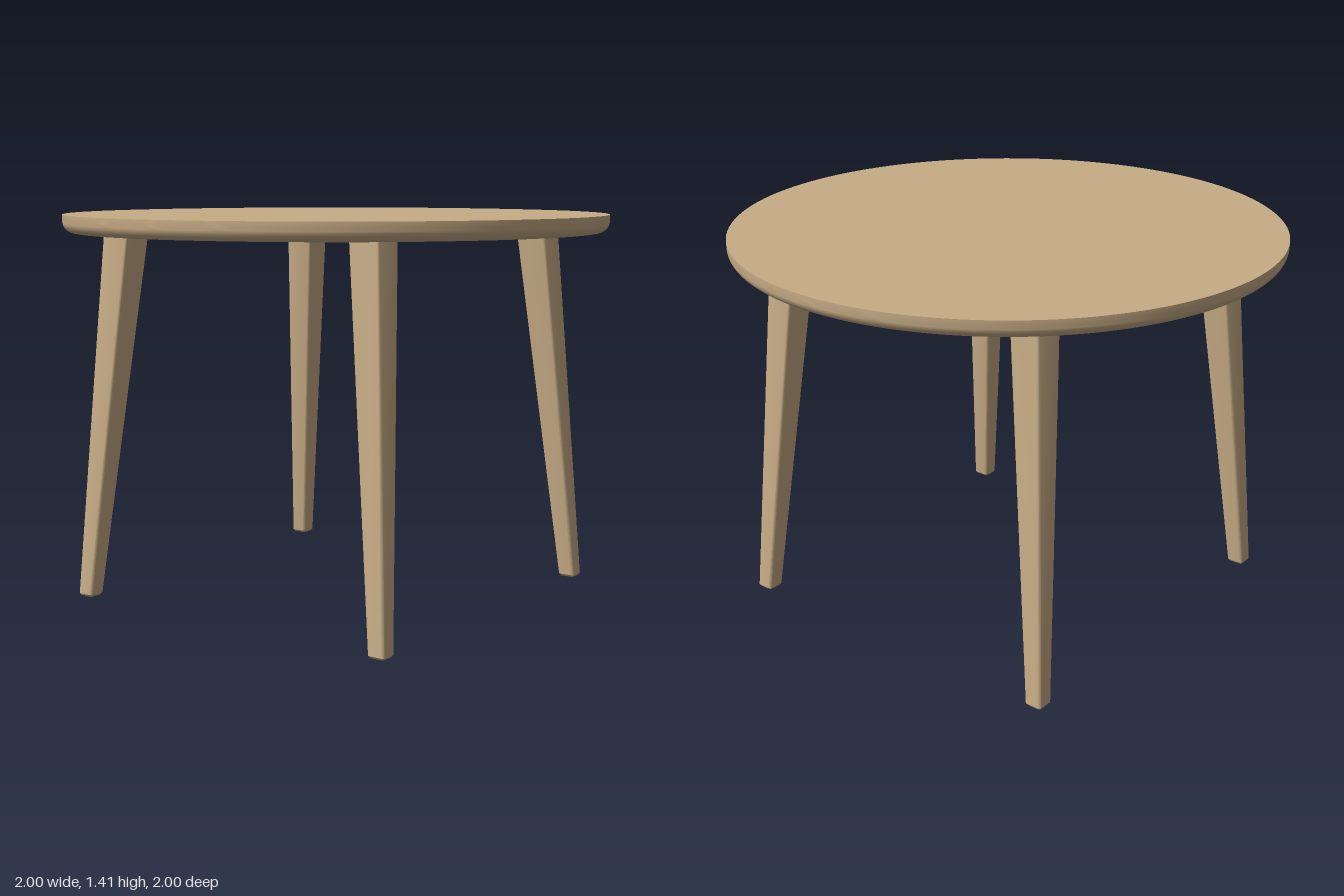
import * as THREE from 'three';
import { toCreasedNormals } from 'three/addons/utils/BufferGeometryUtils.js';

const wood = new THREE.MeshStandardMaterial({ color: 0xc8ad86 });
const UNDERSIDE = 1.347, TOP = 1.412;

// Round top: flat above, rounded under the rim
function createTableTop() {
  const profile = [new THREE.Vector2(0, UNDERSIDE)];
  for (let i = 0; i <= 8; i++) {
    const a = (i / 8) * Math.PI / 2;
    profile.push(new THREE.Vector2(0.96 + 0.04 * Math.sin(a), UNDERSIDE + 0.043 * (1 - Math.cos(a))));
  }
  profile.push(new THREE.Vector2(1, TOP), new THREE.Vector2(0, TOP));
  const top = new THREE.Mesh(toCreasedNormals(new THREE.LatheGeometry(profile, 128), 0.6), wood);
  top.name = 'tableTop';
  return top;
}

// Corner points of a rounded square, counter-clockwise seen from above
function roundedSquare(half, radius) {
  const points = [];
  for (let corner = 0; corner < 4; corner++) {
    const mid = Math.PI / 4 + corner * Math.PI / 2;
    const c = (half - radius) * Math.SQRT2;
    for (let i = 0; i <= 4; i++) {
      const a = corner * Math.PI / 2 + (i / 4) * Math.PI / 2;
      points.push([c * Math.cos(mid) + radius * Math.cos(a), -c * Math.sin(mid) - radius * Math.sin(a)]);
    }
  }
  return points;
}

// Splayed, tapered leg lofted through rounded squares, closed at both ends
function createLegGeometry() {
  const sections = [ // height, centre offset, half width, corner radius
    [0, 0.656, 0.026, 0.006],
    [0.008, 0.6555, 0.0325, 0.01],
    [UNDERSIDE + 0.003, 0.545, 0.06, 0.012],
  ];
  const positions = [], indices = [];
  const rings = sections.map(([y, centre, half, radius]) => {
    const start = positions.length / 3;
    for (const [x, z] of roundedSquare(half, radius)) positions.push(centre + x, y, centre + z);
    return start;
  });
  const n = 20;
  for (let r = 0; r < rings.length - 1; r++) {
    for (let i = 0; i < n; i++) {
      const j = (i + 1) % n, a = rings[r], b = rings[r + 1];
      indices.push(a + i, a + j, b + j, a + i, b + j, b + i);
    }
  }
  const last = rings[rings.length - 1];
  for (let i = 1; i < n - 1; i++) {
    indices.push(0, i + 1, i, last, last + i, last + i + 1);
  }
  const geometry = new THREE.BufferGeometry();
  geometry.setAttribute('position', new THREE.Float32BufferAttribute(positions, 3));
  geometry.setIndex(indices);
  return toCreasedNormals(geometry, 0.6);
}

export function createModel() {
  const table = new THREE.Group();
  table.name = 'roundTable';
  table.add(createTableTop());

  // Four legs, a quarter turn apart
  const legGeometry = createLegGeometry();
  ['frontLeftLeg', 'backLeftLeg', 'backRightLeg', 'frontRightLeg'].forEach((name, i) => {
    const leg = new THREE.Mesh(legGeometry, wood);
    leg.name = name;
    leg.rotation.y = i * Math.PI / 2;
    table.add(leg);
  });
  return table;
}
